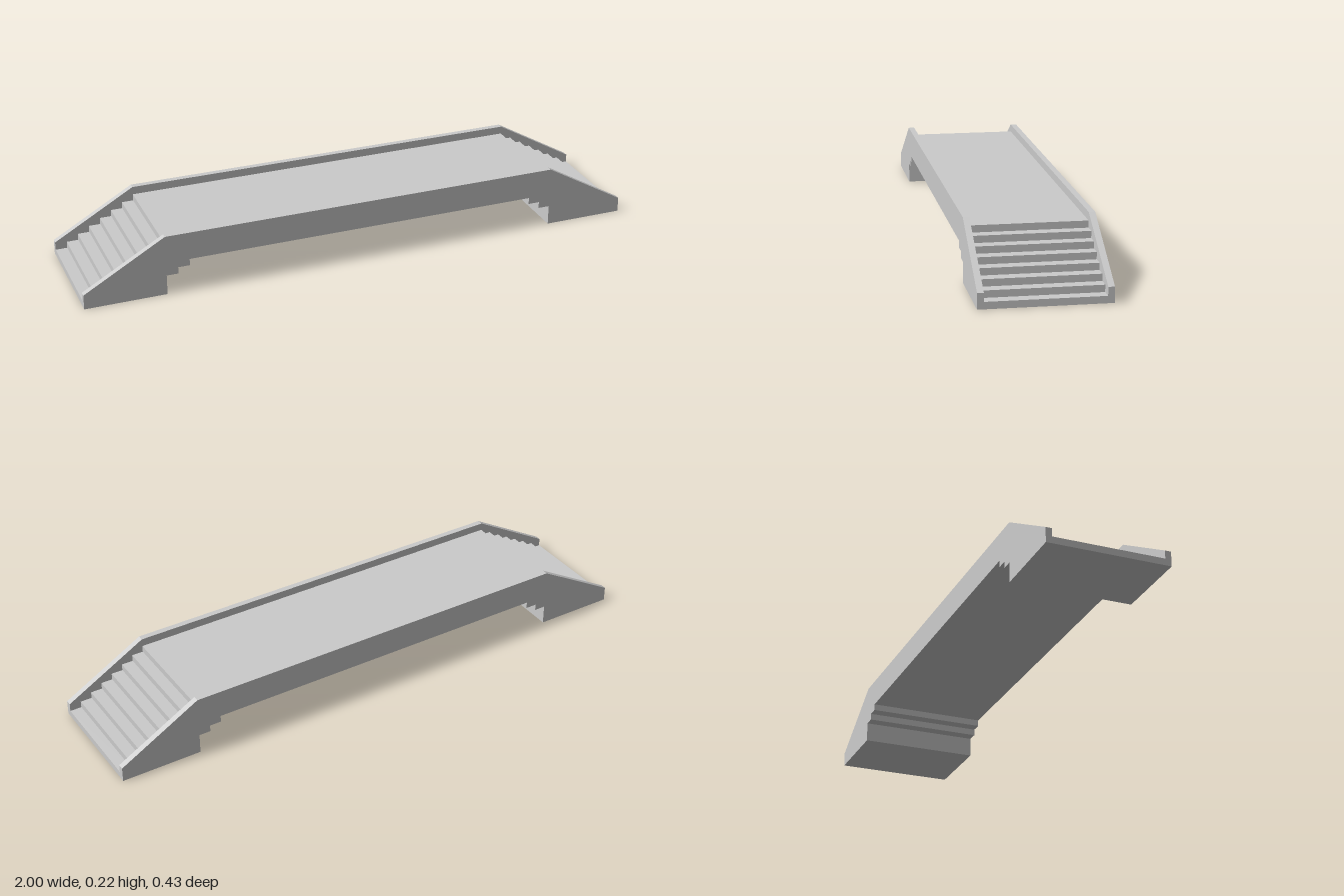
import * as THREE from 'three';

const RISE = 0.0235, TREAD = 0.0409, STEPS = 7;
const INNER = 0.714;            // x where the stairs meet the deck
const HALF_WIDTH = 0.213, WALL = 0.021;

// Mirror a right-hand outline to a full, closed side profile
function mirroredShape(half) {
  const left = half.map(([x, y]) => [-x, y]).reverse();
  return new THREE.Shape([...half, ...left].map(([x, y]) => new THREE.Vector2(x, y)));
}

// Stepped underside, from the middle of the span out to the foot
function underside() {
  const pts = [];
  for (let i = 2; i >= 0; i--) {
    const x = INNER - i * TREAD, y = (3 + i) * RISE;
    pts.push([x, y], [x, i ? y - RISE : 0]);
  }
  return pts;
}

export function createModel() {
  const group = new THREE.Group();
  const material = new THREE.MeshStandardMaterial({ color: 0xcccccc, flatShading: true });

  function addSlab(name, half, z, depth) {
    const geometry = new THREE.ExtrudeGeometry(mirroredShape(half), { depth, bevelEnabled: false });
    const mesh = new THREE.Mesh(geometry, material);
    mesh.name = name;
    mesh.position.z = z;
    group.add(mesh);
  }

  // Deck with a flight of steps at each end
  const stairs = [...underside(), [1, 0]];
  for (let i = 0; i < STEPS; i++) {
    const y = (i + 1) * RISE;
    const end = i === STEPS - 1 ? INNER : 1 - (i + 1) * TREAD;
    stairs.push([1 - i * TREAD, y], [end, y]);
  }
  stairs.push([INNER, (STEPS + 1) * RISE]);
  const inside = HALF_WIDTH - WALL;
  addSlab('deckAndStairs', stairs, -inside, 2 * inside);

  // Side walls with sloping ends
  const wall = [...underside(), [1, 0], [1, 0.052], [INNER, 0.216]];
  addSlab('frontWall', wall, inside, WALL);
  addSlab('backWall', wall, -HALF_WIDTH, WALL);

  return group;
}
